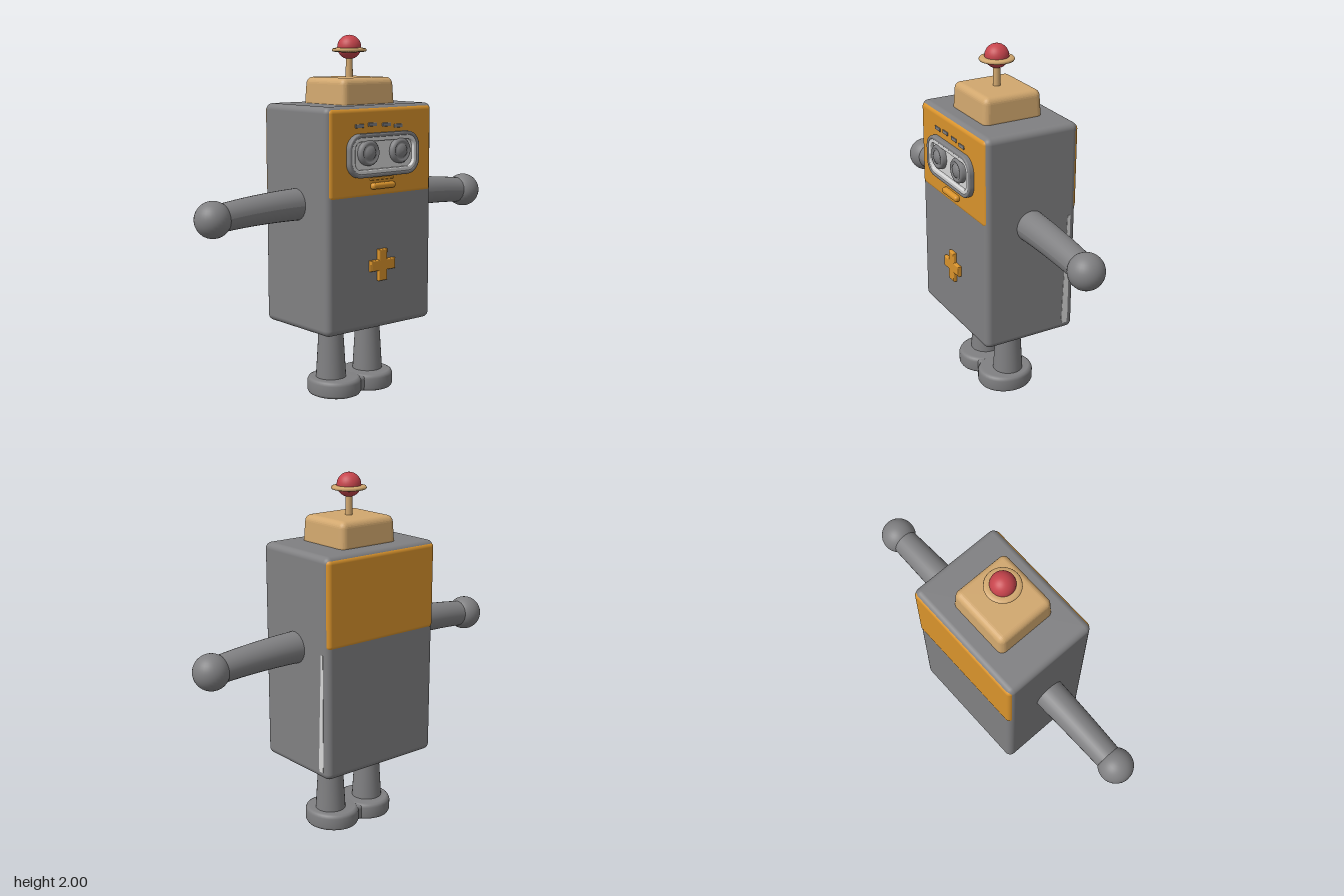
import * as THREE from 'three';
import { RoundedBoxGeometry } from 'three/addons/geometries/RoundedBoxGeometry.js';

const paint = (name, color) => {
  const m = new THREE.MeshStandardMaterial({ color });
  m.name = name;
  return m;
};

export function createModel() {
  const grey = paint('grey', 0x808082);
  const orange = paint('orange', 0xd9932c);
  const tan = paint('tan', 0xd1a76e);
  const red = paint('red', 0xc6444c);
  const light = paint('light grey', 0xd6d6d6);

  const root = new THREE.Group();
  root.name = 'robot';
  const Z = -0.018; // centre line of limbs and antenna

  const add = (name, geometry, material, x = 0, y = 0, z = 0) => {
    const mesh = new THREE.Mesh(geometry, material);
    mesh.name = name;
    mesh.position.set(x, y, z);
    root.add(mesh);
    return mesh;
  };
  const box = (w, h, d, r) => new RoundedBoxGeometry(w, h, d, 4, r);
  const lathe = (pts, n = 40) =>
    new THREE.LatheGeometry(pts.map(([r, y]) => new THREE.Vector2(r, y)), n);

  // Rounded outline, w and h being half sizes
  const outline = (w, h, r, Type = THREE.Shape) => {
    const s = new Type();
    s.moveTo(-w + r, -h);
    s.lineTo(w - r, -h);
    s.absarc(w - r, -h + r, r, -Math.PI / 2, 0);
    s.lineTo(w, h - r);
    s.absarc(w - r, h - r, r, 0, Math.PI / 2);
    s.lineTo(-w + r, h);
    s.absarc(-w + r, h - r, r, Math.PI / 2, Math.PI);
    s.lineTo(-w, -h + r);
    s.absarc(-w + r, -h + r, r, Math.PI, Math.PI * 1.5);
    return s;
  };
  const extrude = (shape, depth, bevel = 0) => new THREE.ExtrudeGeometry(shape, {
    depth, curveSegments: 12, bevelEnabled: bevel > 0,
    bevelThickness: bevel, bevelSize: bevel, bevelOffset: -bevel, bevelSegments: 3,
  });

  // Body with orange head panels at front and back
  add('body', box(0.75, 1.22, 0.552, 0.035), grey, 0, 1.02, -0.024);
  add('facePanel', box(0.728, 0.482, 0.06, 0.025), orange, 0, 1.379, 0.226);
  add('backPanel', box(0.74, 0.482, 0.06, 0.025), orange, 0, 1.377, -0.274);

  // Pale streak on the left side, widening downwards
  const streak = new THREE.Shape([[0.223, 0.47], [0.23, 0.45], [0.258, 0.45], [0.262, 0.5],
    [0.262, 1.11], [0.246, 1.11]].map(([x, y]) => new THREE.Vector2(x, y)));
  add('sideStreak', extrude(streak, 0.004), light, 0.373).rotation.y = Math.PI / 2;

  // Cap, narrowing towards the top
  const cap = box(0.38, 0.17, 0.355, 0.035);
  const p = cap.attributes.position;
  for (let i = 0; i < p.count; i++) {
    const k = 1 - 0.05 * (p.getY(i) / 0.17 + 0.5);
    p.setX(i, p.getX(i) * k);
    p.setZ(i, p.getZ(i) * k);
  }
  cap.computeVertexNormals();
  add('cap', box(0.36, 0.02, 0.335, 0.01), tan, 0, 1.64, Z);
  add('capTop', cap, tan, 0, 1.687, Z);

  // Antenna
  add('antennaRod', new THREE.CylinderGeometry(0.018, 0.02, 0.16, 20), tan, 0, 1.84, Z);
  add('antennaDish', lathe([[0, -0.012], [0.075, -0.012], [0.092, -0.007], [0.096, 0],
    [0.092, 0.008], [0.075, 0.012], [0, 0.012]]), tan, 0, 1.918, Z);
  add('antennaBulb', new THREE.SphereGeometry(0.066, 32, 20), red, 0, 1.934, Z);

  // Eye window: frame, pale rim and plate
  const ring = (w, h, r, t) => {
    const s = outline(w, h, r);
    s.holes.push(outline(w - t, h - t, r - t, THREE.Path));
    return s;
  };
  add('windowFrame', extrude(ring(0.25, 0.117, 0.085, 0.022), 0.028, 0.008), grey, 0, 1.368, 0.25);
  add('windowRim', extrude(ring(0.234, 0.101, 0.069, 0.026), 0.022, 0.006), light, 0, 1.368, 0.255);
  add('windowPlate', extrude(outline(0.23, 0.097, 0.065), 0.012), light, 0, 1.368, 0.252);

  for (const s of [-1, 1]) {
    const side = s > 0 ? 'left' : 'right';

    // Round stepped eyes
    const eye = lathe([[0.068, 0], [0.068, 0.022], [0.06, 0.032], [0.05, 0.032],
      [0.042, 0.024], [0.036, 0.032], [0.02, 0.04], [0, 0.042]], 32);
    add(side + 'Eye', eye, grey, s * 0.112, 1.382, 0.262).rotation.x = Math.PI / 2;

    // Arms droop gently and end in a ball
    const curve = new THREE.CatmullRomCurve3([[0.3, 1.1], [0.5, 1.098], [0.7, 1.088], [0.9, 1.07]]
      .map(([x, y]) => new THREE.Vector3(s * x, y, Z)));
    const arm = new THREE.TubeGeometry(curve, 24, 1, 28);
    const a = arm.attributes.position;
    const v = new THREE.Vector3();
    for (let i = 0; i < a.count; i++) {
      const t = Math.floor(i / 29) / 24;
      const c = curve.getPointAt(t);
      v.fromBufferAttribute(a, i).sub(c).multiplyScalar(0.089 - 0.017 * t).add(c);
      a.setXYZ(i, v.x, v.y, v.z);
    }
    arm.computeVertexNormals();
    add(side + 'Arm', arm, grey);
    add(side + 'Hand', new THREE.SphereGeometry(0.097, 32, 20), grey, s * 0.903, 1.07, Z);

    // Legs and rounded disc feet
    add(side + 'Leg', lathe([[0.086, 0.08], [0.083, 0.14], [0.072, 0.32], [0.07, 0.43]], 28),
      grey, s * 0.135, 0, Z);
    const foot = lathe([[0, 0], [0.127, 0], [0.14, 0.006], [0.147, 0.02], [0.147, 0.075],
      [0.14, 0.09], [0.127, 0.097], [0, 0.097]]);
    foot.scale(1, 1, 1.09);
    add(side + 'Foot', foot, grey, s * 0.118, 0.002, Z + 0.008);
  }
  // Filler between the feet
  add('footBridge', box(0.12, 0.088, 0.22, 0.02), grey, 0, 0.05, Z + 0.008);

  // Small raised dashes on the brow
  for (const [x, y] of [[-0.16, 1.525], [-0.07, 1.53], [0.03, 1.525], [0.115, 1.515]])
    add('browDash', box(0.06, 0.02, 0.008, 0.003), grey, x, y, 0.257);

  // Mouth with a shallow step above it
  add('mouth', box(0.165, 0.034, 0.04, 0.015), orange, 0, 1.2, 0.262);
  add('mouthStep', box(0.17, 0.014, 0.012, 0.005), orange, 0, 1.238, 0.257);

  // Chest cross
  const b = 0.03, e = 0.087;
  const cross = new THREE.Shape([[-b, -e], [b, -e], [b, -b], [e, -b], [e, b], [b, b],
    [b, e], [-b, e], [-b, b], [-e, b], [-e, -b], [-b, -b]].map(([x, y]) => new THREE.Vector2(x, y)));
  add('chestCross', extrude(cross, 0.02, 0.006), orange, 0, 0.765, 0.246);

  // Lathe profiles drawn from the top or open at an end show both faces
  grey.side = THREE.DoubleSide;
  return root;
}
